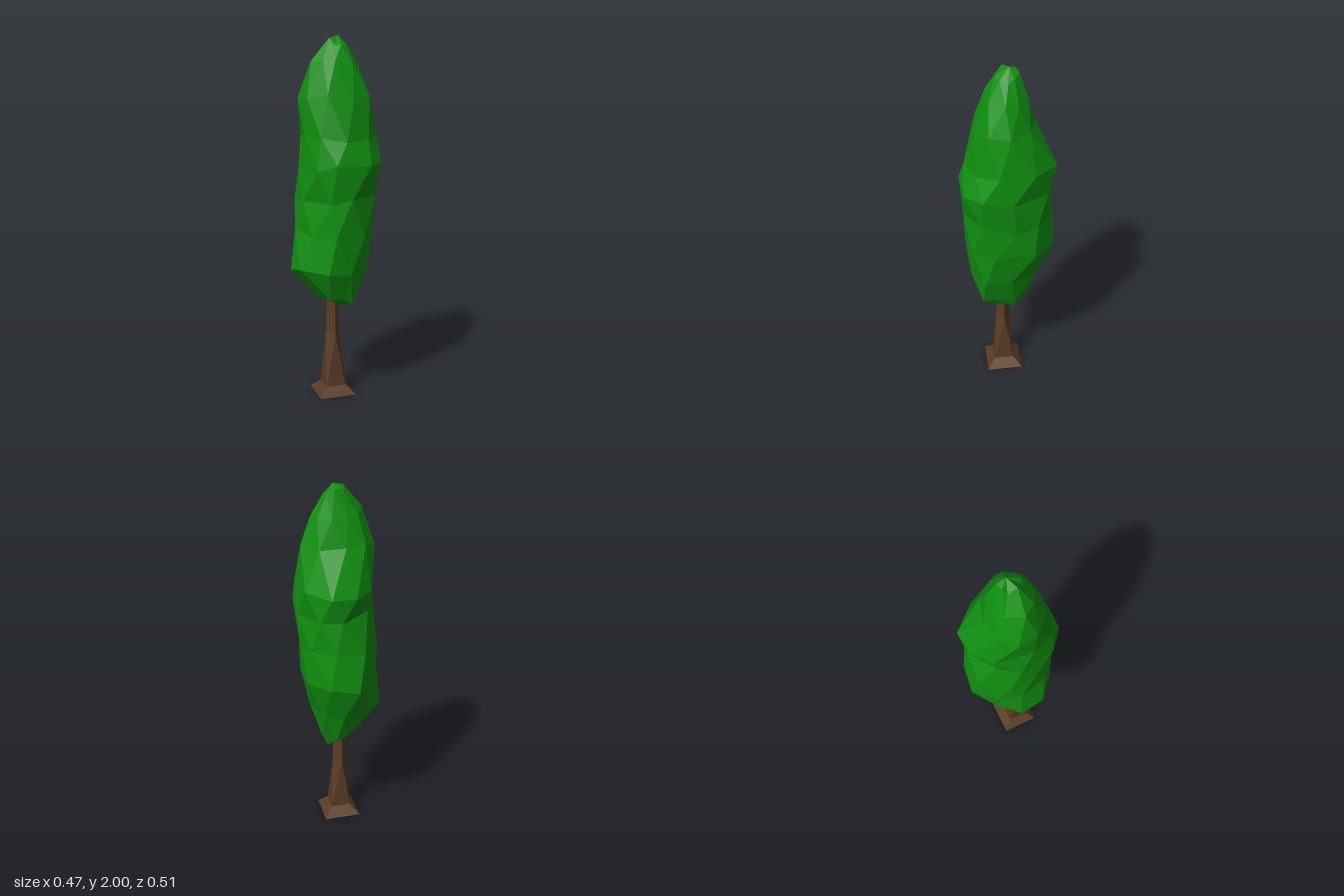
import * as THREE from 'three';

// Repeatable noise in -1..1
function noise(a, b) {
  const s = Math.sin(a * 127.1 + b * 311.7 + 4.3) * 43758.5453;
  return (s - Math.floor(s)) * 2 - 1;
}

// Skin a stack of rings (bottom to top), each an array of Vector3, closed by a tip at both ends
function loft(rings, bottom, top) {
  const pos = [];
  const tri = (...pts) => pts.forEach((p) => pos.push(p.x, p.y, p.z));
  const n = rings[0].length;
  for (let i = 0; i < n; i++) {
    const j = (i + 1) % n;
    tri(bottom, rings[0][j], rings[0][i]);
    for (let k = 0; k < rings.length - 1; k++) {
      const lo = rings[k], up = rings[k + 1];
      tri(lo[i], lo[j], up[j]);
      tri(lo[i], up[j], up[i]);
    }
    const last = rings[rings.length - 1];
    tri(last[i], last[j], top);
  }
  const g = new THREE.BufferGeometry();
  g.setAttribute('position', new THREE.Float32BufferAttribute(pos, 3));
  g.computeVertexNormals();
  return g;
}

// Irregular twisted ring stretched to fill the given x and z extents
function leafRing([y, x0, x1, z0, z1], k) {
  const sides = 9, step = (Math.PI * 2) / sides;
  const pts = [];
  for (let i = 0; i < sides; i++) {
    const a = (i - k * 0.6 + noise(i, k) * 0.2) * step;
    const r = 1 + noise(i + 20, k) * 0.06;
    pts.push(new THREE.Vector3(Math.sin(a) * r, y + noise(i + 40, k) * 0.025, Math.cos(a) * r));
  }
  const box = new THREE.Box3().setFromPoints(pts);
  pts.forEach((p) => {
    p.x = THREE.MathUtils.mapLinear(p.x, box.min.x, box.max.x, x0, x1);
    p.z = THREE.MathUtils.mapLinear(p.z, box.min.z, box.max.z, z0, z1);
  });
  return pts;
}

// Four-sided trunk ring, turned about its centre
function trunkRing([y, cx, cz, r, turn]) {
  return [0, 1, 2, 3].map((i) => {
    const a = Math.PI / 4 + (i * Math.PI) / 2 + turn;
    return new THREE.Vector3(cx + Math.sin(a) * r, y, cz + Math.cos(a) * r);
  });
}

export function createModel() {
  const leafGreen = new THREE.MeshStandardMaterial({ color: 0x109010, flatShading: true });
  leafGreen.name = 'leaf green';
  const barkBrown = new THREE.MeshStandardMaterial({ color: 0x5a3c24, flatShading: true });
  barkBrown.name = 'bark brown';

  const tree = new THREE.Group();
  tree.name = 'tree';

  // Tall faceted crown: height, x extents, z extents
  const crownRings = [
    [0.565, -0.11, 0.105, -0.11, 0.16],
    [0.74, -0.235, 0.165, -0.18, 0.22],
    [0.94, -0.21, 0.2, -0.255, 0.24],
    [1.13, -0.195, 0.215, -0.235, 0.248],
    [1.32, -0.19, 0.235, -0.225, 0.26],
    [1.46, -0.175, 0.225, -0.245, 0.235],
    [1.68, -0.185, 0.2, -0.135, 0.18],
    [1.84, -0.13, 0.14, -0.095, 0.115],
    [1.96, -0.03, 0.08, -0.05, 0.07],
  ].map(leafRing);
  const crown = new THREE.Mesh(
    loft(crownRings, new THREE.Vector3(0.07, 0.485, -0.02), new THREE.Vector3(0.03, 2, 0)),
    leafGreen
  );
  crown.name = 'crown';

  // Flared trunk: height, centre x, centre z, radius, turn
  const trunkRings = [
    [0, -0.008, 0.03, 0.146, 0],
    [0.05, -0.008, 0.032, 0.079, 0],
    [0.35, -0.012, 0.03, 0.042, -0.65],
    [0.6, -0.012, 0.03, 0.034, -0.65],
  ].map(trunkRing);
  const trunk = new THREE.Mesh(
    loft(trunkRings, new THREE.Vector3(-0.008, 0, 0.03), new THREE.Vector3(-0.012, 0.62, 0.03)),
    barkBrown
  );
  trunk.name = 'trunk';

  tree.add(crown, trunk);
  return tree;
}
